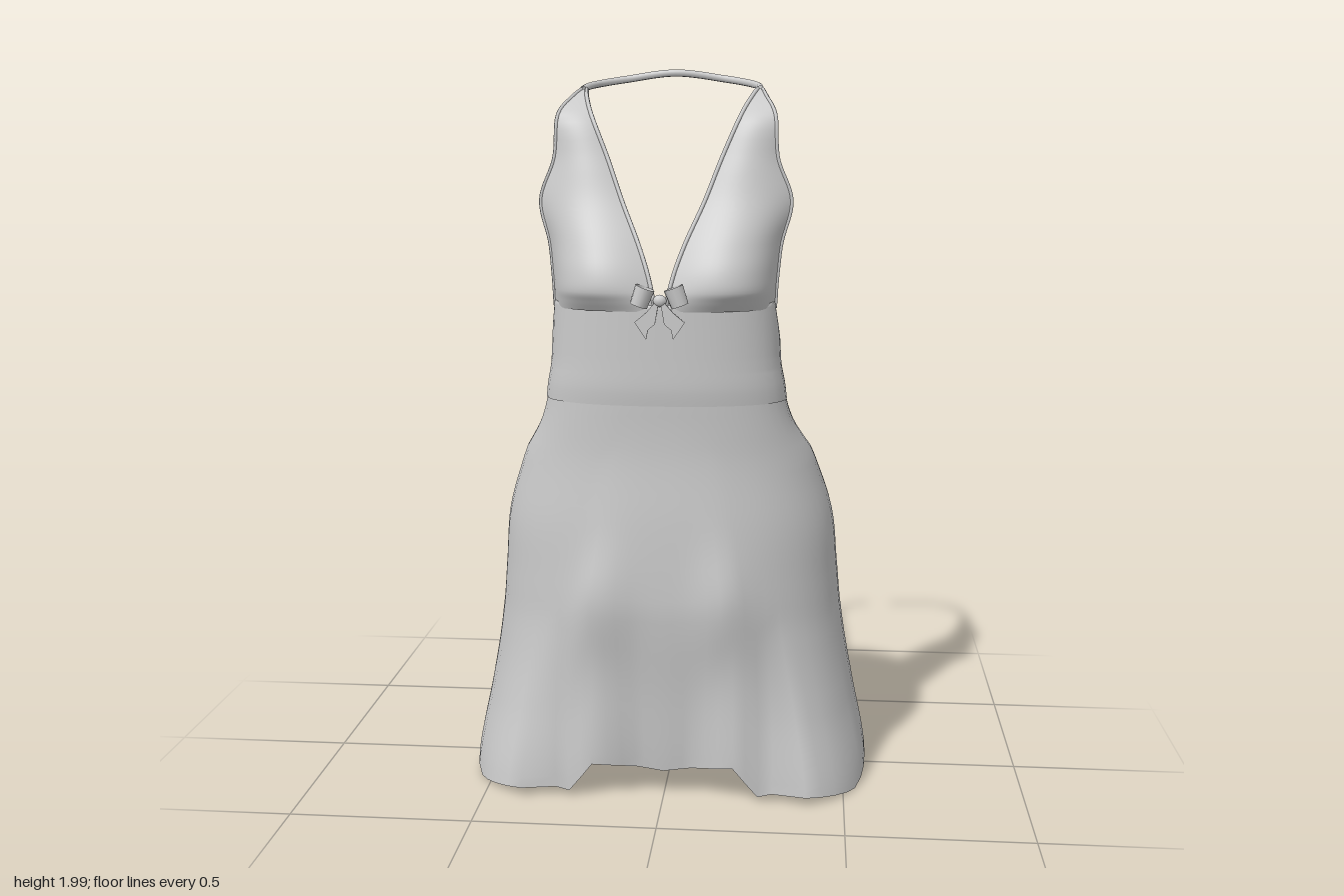
import * as THREE from 'three';
import { mergeVertices } from 'three/addons/utils/BufferGeometryUtils.js';

const cloth = new THREE.MeshStandardMaterial({ color: 0xcccccc, side: THREE.DoubleSide });
const V = (x, y, z) => new THREE.Vector3(x, y, z);

function addMesh(parent, name, geometry) {
  const mesh = new THREE.Mesh(geometry, cloth);
  mesh.name = name;
  parent.add(mesh);
  return mesh;
}

// Smooth sheet from a rule fn(u, v) -> Vector3; matching seam vertices are welded
function sheet(fn, nu, nv) {
  const pos = [], index = [];
  for (let j = 0; j <= nv; j++)
    for (let i = 0; i <= nu; i++) pos.push(...fn(i / nu, j / nv).toArray());
  for (let j = 0; j < nv; j++)
    for (let i = 0; i < nu; i++) {
      const a = j * (nu + 1) + i, c = a + nu + 1;
      index.push(a, a + 1, c + 1, a, c + 1, c);
    }
  let g = new THREE.BufferGeometry();
  g.setAttribute('position', new THREE.Float32BufferAttribute(pos, 3));
  g.setIndex(index);
  g = mergeVertices(g, 1e-5);
  g.computeVertexNormals();
  return g;
}

// Linear lookup in rows sorted by their first column
function lookup(rows, k) {
  let i = 0;
  while (i < rows.length - 2 && k > rows[i + 1][0]) i++;
  const a = rows[i], b = rows[i + 1];
  const t = THREE.MathUtils.clamp((k - a[0]) / (b[0] - a[0]), 0, 1);
  return a.map((n, q) => n + (b[q] - n) * t);
}

// Smooth (Catmull-Rom) version of the same lookup
function smoothLookup(rows, k) {
  let i = 0;
  while (i < rows.length - 2 && k > rows[i + 1][0]) i++;
  const a = rows[Math.max(i - 1, 0)], b = rows[i], c = rows[i + 1], d = rows[Math.min(i + 2, rows.length - 1)];
  const t = THREE.MathUtils.clamp((k - b[0]) / (c[0] - b[0]), 0, 1);
  return b.map((n, q) => n + 0.5 * t * (c[q] - a[q] + t * (2 * a[q] - 5 * n + 4 * c[q] - d[q] + t * (3 * (n - c[q]) + d[q] - a[q]))));
}

// Squared-off oval; angle 0 is the front, growing towards +x
function oval(angle, [y, w, zf, zb, c, nf, nb], grow = 0) {
  const s = Math.sin(angle), k = Math.cos(angle);
  const depth = k > 0 ? zf - c : c - zb, n = k > 0 ? nf : nb;
  const r = (Math.abs(s / w) ** n + Math.abs(k / depth) ** n) ** (-1 / n) + grow;
  return V(r * s, y, c + r * k);
}

// Skirt sections: y, half width, front z, back z, centre z, front and back squareness
const SKIRT = [
  [0, 0.565, 0.36, -0.42, 0, 3, 2.1],
  [0.25, 0.52, 0.352, -0.39, 0, 2.6, 2.15],
  [0.45, 0.488, 0.355, -0.355, 0.02, 2.3, 2.2],
  [0.6, 0.473, 0.358, -0.328, 0.035, 2.25, 2.2],
  [0.77, 0.455, 0.356, -0.275, 0.06, 2.25, 2.2],
  [0.95, 0.4, 0.348, -0.18, 0.11, 2.25, 2.2],
  [1.05, 0.345, 0.35, -0.128, 0.17, 2.3, 2.2],
  [1.15, 0.32, 0.356, -0.102, 0.19, 2.3, 2.2],
];
const SKIRT_TOP = 1.15;
// Uneven hem: angle in degrees, height, outward shift
const HEM = [
  [0, 0.08, -0.065], [15, 0.09, -0.07], [30, 0.11, -0.02], [40, 0.02, -0.04], [45, 0.025, -0.045], [50, 0.03, 0.02],
  [70, 0.005, 0], [90, 0.06, 0], [105, 0.065, -0.025], [120, 0.075, 0], [155, 0.145, 0.03], [165, 0.12, -0.01], [180, 0.13, 0],
];

function skirtPoint(u, v) {
  const deg = 360 * Math.min(u, 1 - u), y = v * SKIRT_TOP;
  const [, hemY, shift] = lookup(HEM, deg);
  const flare = Math.max(0, 1 - v / 0.45) ** 1.2;
  // two soft leg folds in front
  const fold = 0.03 * Math.exp(-(((deg - 28) / 11) ** 2) - ((y - 0.52) / 0.16) ** 2);
  const p = oval(u * Math.PI * 2, smoothLookup(SKIRT, y), shift * flare + fold);
  p.y = SKIRT_TOP - (SKIRT_TOP - y) * (SKIRT_TOP - hemY) / SKIRT_TOP;
  return p;
}

// Waistband sections, same columns as the skirt
const BAND = [
  [1.12, 0.327, 0.356, -0.106, 0.19, 2.3, 2.2],
  [1.16, 0.322, 0.362, -0.109, 0.195, 2.3, 2.2],
  [1.2, 0.314, 0.364, -0.106, 0.2, 2.3, 2.2],
  [1.235, 0.31, 0.365, -0.1, 0.2, 2.3, 2.2],
  [1.39, 0.302, 0.37, -0.1, 0.2, 2.3, 2.2],
];

// The band is low behind and rises to the bust in front; its last rows fold inside
function bandPoint(u, v) {
  const angle = u * Math.PI * 2;
  const z = oval(angle, BAND[3]).z;
  const top = lookup([[0.03, 1.235], [0.13, 1.255], [0.22, 1.295], [0.25, 1.385]], z)[1];
  const up = Math.min(1, v / 0.8), fold = Math.max(0, v - 0.8) / 0.2;
  const y = 1.12 + (top - 1.12) * up;
  const p = oval(angle, smoothLookup(BAND, y), -0.018 * Math.min(1, fold * 2));
  p.y -= 0.03 * Math.max(0, fold * 2 - 1);
  return p;
}

// Bodice rows: y, then x and z of the armhole edge, the middle and the neckline edge
const BODICE = [
  [1.37, 0.293, 0.242, 0.2, 0.343, 0.012, 0.366],
  [1.395, 0.295, 0.24, 0.2, 0.362, 0.017, 0.366],
  [1.42, 0.296, 0.24, 0.2, 0.377, 0.022, 0.362],
  [1.47, 0.3, 0.236, 0.2, 0.372, 0.035, 0.35],
  [1.54, 0.308, 0.23, 0.205, 0.342, 0.06, 0.325],
  [1.65, 0.333, 0.216, 0.225, 0.285, 0.108, 0.276],
  [1.76, 0.296, 0.215, 0.225, 0.25, 0.15, 0.24],
  [1.87, 0.288, 0.2, 0.24, 0.208, 0.197, 0.2],
  [1.92, 0.262, 0.11, 0.242, 0.11, 0.222, 0.108],
  [1.942, 0.248, 0.03, 0.242, 0.03, 0.234, 0.03],
];
const edge = col => new THREE.CatmullRomCurve3(BODICE.map(r => V(r[col], r[0], r[col + 1])));
const [armhole, middle, neckline] = [1, 3, 5].map(edge);

function bodicePoint(u, v) {
  const a = neckline.getPoint(v), m = middle.getPoint(v), b = armhole.getPoint(v);
  const control = m.multiplyScalar(2).addScaledVector(a, -0.5).addScaledVector(b, -0.5);
  return new THREE.QuadraticBezierCurve3(a, control, b).getPoint(u);
}

const mirrored = (curve, s) => new THREE.CatmullRomCurve3(curve.points.map(p => V(p.x * s, p.y, p.z)));

export function createModel() {
  const dress = new THREE.Group();
  dress.name = 'halterDress';

  addMesh(dress, 'skirt', sheet(skirtPoint, 72, 36));
  addMesh(dress, 'waistband', sheet(bandPoint, 72, 20));

  for (const s of [1, -1]) {
    const side = s > 0 ? 'left' : 'right';
    const panel = (u, v) => {
      const p = bodicePoint(s > 0 ? u : 1 - u, v);
      p.x *= s;
      return p;
    };
    addMesh(dress, side + 'BodicePanel', sheet(panel, 16, 45));
    addMesh(dress, side + 'NecklineTrim', new THREE.TubeGeometry(mirrored(neckline, s), 45, 0.006, 6));
    addMesh(dress, side + 'ArmholeTrim', new THREE.TubeGeometry(mirrored(armhole, s), 45, 0.005, 6));
  }

  // Strap behind the neck
  const half = [[0.242, 1.94, 0.04], [0.235, 1.95, -0.015], [0.205, 1.96, -0.075], [0.14, 1.972, -0.115]];
  const strapPath = new THREE.CatmullRomCurve3([
    ...half.map(p => V(...p)), V(0, 1.989, -0.112), ...half.map(([x, y, z]) => V(-x, y, z)).reverse(),
  ]);
  addMesh(dress, 'neckStrap', new THREE.TubeGeometry(strapPath, 60, 0.01, 8));

  // Bow at the bottom of the neckline
  const bow = new THREE.Group();
  bow.name = 'bow';
  bow.position.set(0, 1.4, 0.378);
  dress.add(bow);
  const knot = addMesh(bow, 'bowKnot', new THREE.SphereGeometry(0.018, 10, 8));
  knot.scale.set(1, 0.9, 0.7);
  for (const s of [1, -1]) {
    const loop = addMesh(bow, 'bowLoop', new THREE.CylinderGeometry(0.026, 0.023, 0.05, 12, 1, true));
    loop.position.set(s * 0.045, 0.012, 0.014);
    loop.rotation.z = s * 0.35;
    const tail = new THREE.Shape([[0, 0.01], [0.035, -0.03], [0.065, -0.055], [0.035, -0.1], [0.03, -0.075], [0.012, -0.06]]
      .map(([x, y]) => new THREE.Vector2(s * x, y)));
    const ribbon = addMesh(bow, 'bowTail', new THREE.ExtrudeGeometry(tail, { depth: 0.005, bevelEnabled: false }));
    ribbon.position.z = 0.002;
  }
  return dress;
}
